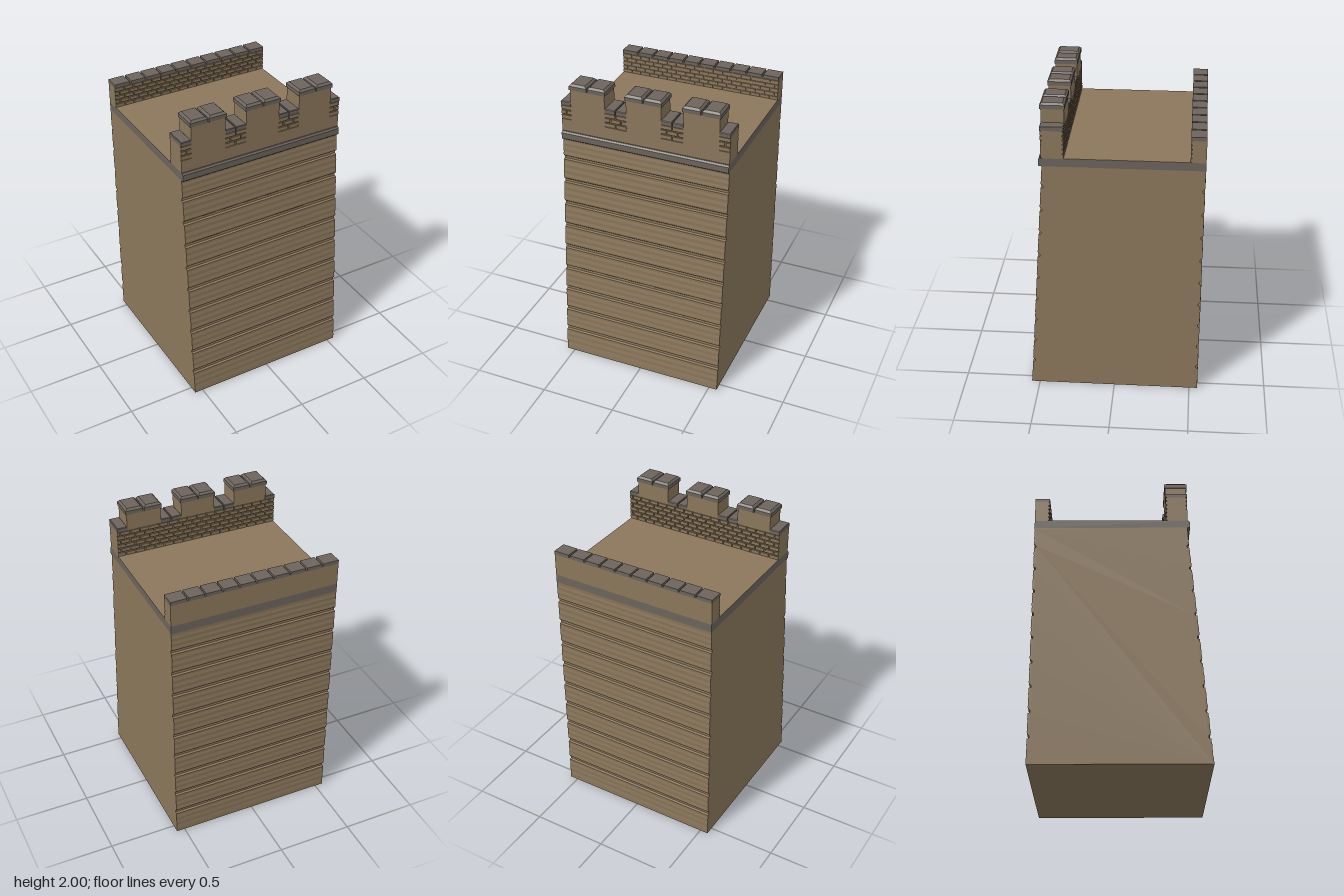
import * as THREE from 'three';
import { mergeGeometries } from 'three/addons/utils/BufferGeometryUtils.js';

const HALF = 0.555;      // half width of the tower
const LEDGE = 1.615;     // underside of the ledge
const FLOOR = 1.67;      // roof walk
const stone = new THREE.MeshStandardMaterial({ name: 'tan stone', color: 0x8b775b });
const slate = new THREE.MeshStandardMaterial({ name: 'grey coping', color: 0x6c645c });

// box given by its limits
function block(x0, x1, y0, y1, z0, z1) {
  return new THREE.BoxGeometry(x1 - x0, y1 - y0, z1 - z0)
    .translate((x0 + x1) / 2, (y0 + y1) / 2, (z0 + z1) / 2);
}

// coping stone with a chamfered top edge
function coping(x0, x1, y0, y1, z0, z1, bevel) {
  const w = x1 - x0, h = y1 - y0, d = z1 - z0;
  const g = new THREE.BoxGeometry(w, h, d, 1, 2, 1);
  const p = g.attributes.position;
  for (let i = 0; i < p.count; i++) {
    const y = p.getY(i);
    if (y > h / 4) {
      p.setX(i, p.getX(i) * (1 - 2 * bevel / w));
      p.setZ(i, p.getZ(i) * (1 - 2 * bevel / d));
    } else if (y > -h / 4) p.setY(i, h / 2 - bevel);
  }
  const flat = g.toNonIndexed();
  flat.computeVertexNormals();
  return flat.translate((x0 + x1) / 2, (y0 + y1) / 2, (z0 + z1) / 2);
}

// (z, y) outline swept across the full width
function sweep(points) {
  const shape = new THREE.Shape(points.map(([z, y]) => new THREE.Vector2(z, y)));
  return new THREE.ExtrudeGeometry(shape, { depth: 2 * HALF, bevelEnabled: false })
    .rotateY(-Math.PI / 2).translate(HALF, 0, 0);
}

// running-bond bricks filling a rectangle
function bricks(x0, x1, y0, y1, z0, z1, rows, length = 0.066) {
  const list = [], gap = 0.004, rowH = (y1 - y0) / rows;
  for (let r = 0; r < rows; r++) {
    const y = y0 + r * rowH;
    for (let x = x0 - (r % 2) * length / 2; x < x1 - 0.001; x += length) {
      const a = Math.max(x, x0) + (x > x0 + 0.001 ? gap : 0);
      const b = Math.min(x + length, x1) - (x + length < x1 - 0.001 ? gap : 0);
      if (b - a > 0.006) list.push(block(a, b, y + gap, y + rowH - gap, z0, z1));
    }
  }
  return list;
}

export function createModel() {
  const group = new THREE.Group();
  const add = (name, geometry, material) => {
    const mesh = new THREE.Mesh(Array.isArray(geometry) ? mergeGeometries(geometry) : geometry, material);
    mesh.name = name;
    group.add(mesh);
  };

  // body: courses parted by grooves, front leaning back, rear upright
  const joints = [0];
  for (let i = 0; i < 9; i++) joints.push(0.168 + i * 0.163);
  joints.push(LEDGE);
  const course = [[0.07, 0.015], [0.13, 0.003], [0.2, 0], [0.33, 0.002], [0.46, 0], [0.6, 0.002],
    [0.73, 0], [0.85, 0.002], [0.95, 0.001], [0.98, 0.015]];
  const relief = [[0, 0]];
  for (let i = 0; i < joints.length - 1; i++) {
    const y0 = joints[i], h = joints[i + 1] - y0;
    for (const [t, d] of course) {
      if (i === 0 && t < 0.2) continue;
      if (i === joints.length - 2 && t > 0.96) continue;
      relief.push([y0 + t * h, d]);
    }
  }
  relief.push([LEDGE, 0]);
  const front = relief.map(([y, d]) => [HALF - 0.118 * y / LEDGE - d, y]);
  const rear = relief.map(([y, d]) => [-HALF + d, y]).reverse();
  add('towerBody', sweep([...front, ...rear]), stone);

  // ledge and roof floor
  add('ledge', sweep([[-HALF, LEDGE], [0.452, LEDGE], [0.455, LEDGE + 0.004], [0.455, FLOOR - 0.012],
    [0.445, FLOOR - 0.002], [-HALF, FLOOR - 0.002]]), slate);
  add('roofFloor', block(-HALF, HALF, FLOOR - 0.002, FLOOR, -0.47, 0.43), stone);

  // front parapet
  const zin = 0.30, zout = 0.44, skin = 0.008;
  const base = 1.752, sill = 1.848, top = 1.965;
  const centres = [-0.3725, 0, 0.3725], half = 0.115;
  const wall = [
    block(-HALF, HALF, FLOOR, sill, zin + skin, zout - skin),
    block(-HALF, HALF, FLOOR, base, zout - skin, zout),
    ...bricks(-HALF, HALF, FLOOR, sill, zin, zin + skin, 6),
  ];
  for (const c of centres) {
    wall.push(block(c - half, c + half, sill, top, zin, zout));
    wall.push(block(c - half, c + half, base, sill, zout - skin, zout));
  }
  const crenels = [[-HALF, -0.4875], [-0.2575, -0.115], [0.115, 0.2575], [0.4875, HALF]];
  for (const [a, b] of crenels) wall.push(...bricks(a, b, base, sill, zout - skin, zout, 3, 0.071));
  add('frontParapet', wall, stone);

  // coping on the merlons, two stones each
  const merlonCaps = [];
  for (const c of centres) for (const s of [-1, 1]) {
    const m = c + s * 0.0625;
    merlonCaps.push(coping(m - 0.0585, m + 0.0585, top - 0.003, 2, 0.295, 0.445, 0.013));
  }
  add('merlonCoping', merlonCaps, slate);

  // coping in the crenels
  const sillCaps = [];
  for (const [a, b] of crenels) {
    const n = b - a > 0.1 ? 2 : 1, w = (b - a) / n;
    for (let i = 0; i < n; i++) {
      const l = a + i * w + (i ? 0.003 : 0), r = a + (i + 1) * w - (i < n - 1 ? 0.003 : 0);
      sillCaps.push(coping(l, r, sill, 1.876, zin - 0.002, zout + 0.002, 0.003));
    }
  }
  add('crenelCoping', sillCaps, slate);

  // rear parapet with bricks on its inner face
  const rearTop = 1.812;
  add('rearParapet', [
    block(-HALF, HALF, FLOOR - 0.002, rearTop, -HALF, -0.46 - skin),
    ...bricks(-HALF, HALF, FLOOR, rearTop, -0.46 - skin, -0.46, 5),
  ], stone);
  const rearCaps = [block(-HALF, HALF, rearTop, 1.822, -HALF, -0.46)];
  for (let i = 0; i < 10; i++) {
    const a = -HALF + i * 0.111, b = a + 0.111;
    rearCaps.push(block(a + (i ? 0.006 : 0), b - (i < 9 ? 0.006 : 0), 1.822, 1.836, -HALF, -0.46));
  }
  add('rearCoping', rearCaps, slate);
  return group;
}
